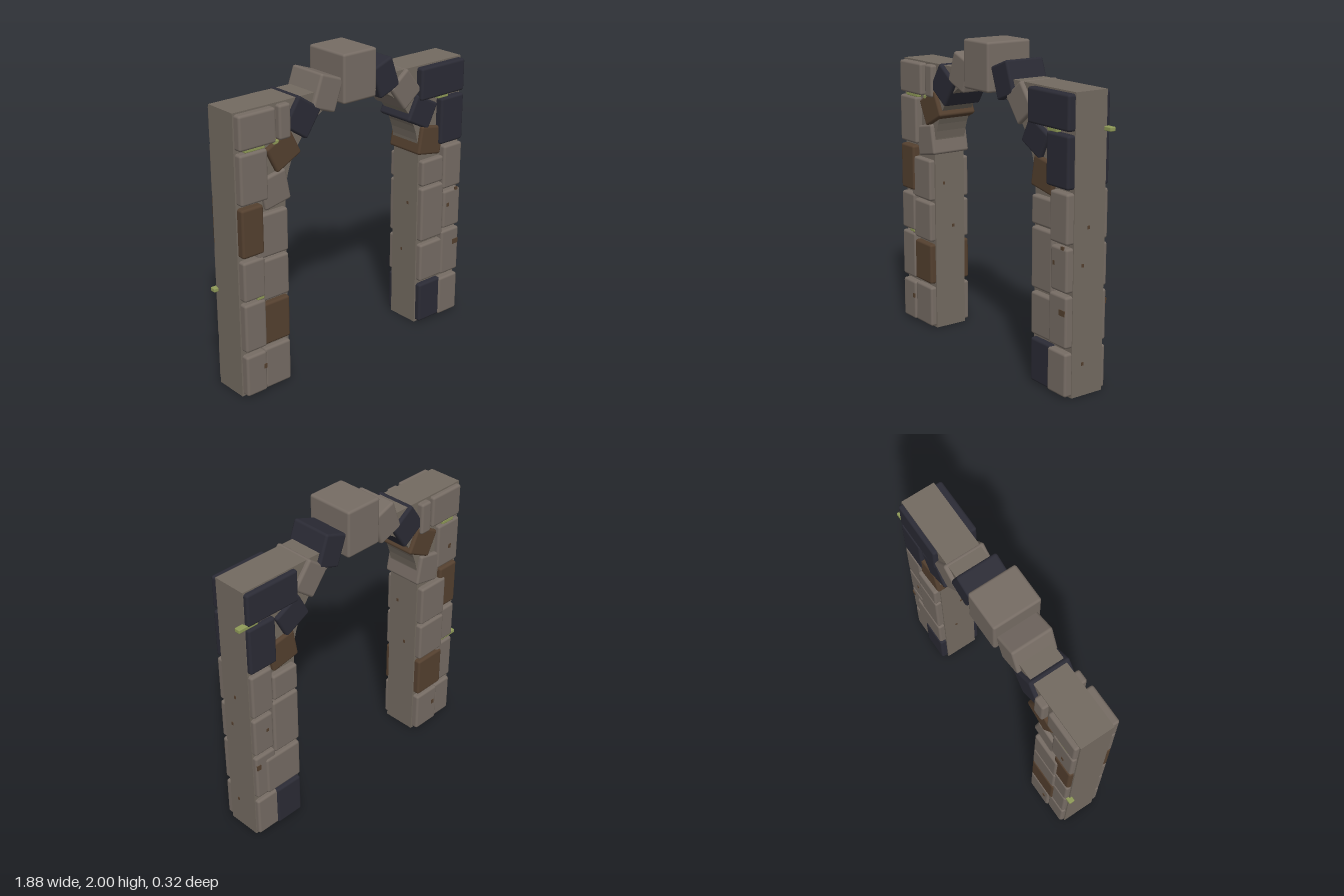
import * as THREE from 'three';
import { RoundedBoxGeometry } from 'three/addons/geometries/RoundedBoxGeometry.js';

const mat = (name, color) => {
  const m = new THREE.MeshStandardMaterial({ color });
  m.name = name;
  return m;
};

export function createModel() {
  const arch = new THREE.Group();
  arch.name = 'stoneArch';
  const M = {
    stone: mat('greyStone', 0x766c64),
    dark: mat('darkStone', 0x2b2b35),
    brown: mat('brownStone', 0x54402f),
    mortar: mat('mortar', 0x736a60),
    moss: mat('moss', 0x8f9a58),
  };
  const add = (name, geo, material, x, y, z, rot = 0) => {
    const mesh = new THREE.Mesh(geo, material);
    mesh.name = name;
    mesh.position.set(x, y, z);
    mesh.rotation.z = rot * Math.PI / 180;
    arch.add(mesh);
    return mesh;
  };

  // Mortar core: two legs joined by a round arch
  const s = new THREE.Shape();
  s.moveTo(-0.915, 0);
  s.lineTo(-0.555, 0);
  s.lineTo(-0.555, 1.2);
  s.absarc(-0.015, 1.2, 0.54, Math.PI, 0, true);
  s.lineTo(0.525, 0);
  s.lineTo(0.885, 0);
  s.lineTo(0.885, 1.8);
  s.lineTo(-0.915, 1.8);
  s.closePath();
  add('mortarCore', new THREE.ExtrudeGeometry(s, { depth: 0.225, bevelEnabled: false, curveSegments: 16 }),
    M.mortar, 0, 0, -0.12);

  const block = (name, kind, x0, x1, y0, y1, z0, z1) =>
    add(name, new RoundedBoxGeometry(x1 - x0, y1 - y0, z1 - z0, 2, 0.016), M[kind],
      (x0 + x1) / 2, (y0 + y1) / 2, (z0 + z1) / 2);

  // Outer leg stones stand proud in front, inner ones behind
  const outer = [
    ['stone', -0.905, -0.755, 0.01, 0.28], ['stone', -0.905, -0.75, 0.31, 0.625],
    ['stone', -0.905, -0.75, 0.645, 0.9], ['brown', -0.905, -0.75, 0.925, 1.23],
    ['stone', -0.905, -0.71, 1.25, 1.56], ['stone', -0.905, -0.645, 1.58, 1.79],
    ['stone', 0.71, 0.88, 0.01, 0.28], ['stone', 0.72, 0.88, 0.31, 0.625],
    ['stone', 0.73, 0.88, 0.645, 0.91], ['stone', 0.72, 0.88, 0.93, 1.23],
    ['dark', 0.68, 0.88, 1.25, 1.56], ['dark', 0.5, 0.88, 1.58, 1.79],
  ];
  const inner = [
    ['stone', -0.76, -0.565, 0.01, 0.285], ['brown', -0.79, -0.565, 0.31, 0.585],
    ['stone', -0.79, -0.565, 0.605, 0.87], ['stone', -0.79, -0.565, 0.885, 1.16],
    ['stone', -0.615, -0.53, 1.58, 1.79],
    ['dark', 0.535, 0.73, 0.01, 0.285], ['stone', 0.535, 0.805, 0.31, 0.575],
    ['stone', 0.535, 0.735, 0.6, 0.975], ['stone', 0.535, 0.725, 0.99, 1.165],
  ];
  outer.forEach(([k, ...b]) => block('outerLegStone', k, ...b, -0.15, 0.153));
  inner.forEach(([k, ...b]) => block('innerLegStone', k, ...b, -0.162, 0.143));

  // Ring of tilted arch stones: kind, x, y, width, height, tilt
  const ring = [
    ['stone', -0.24, 1.78, 0.18, 0.21, -20], ['dark', -0.43, 1.675, 0.2, 0.2, -34],
    ['brown', -0.575, 1.505, 0.2, 0.18, 27], ['stone', -0.64, 1.285, 0.19, 0.2, 11],
    ['dark', 0.22, 1.785, 0.17, 0.21, 20], ['stone', 0.39, 1.675, 0.18, 0.2, 38],
    ['dark', 0.54, 1.495, 0.2, 0.18, -27], ['brown', 0.62, 1.29, 0.2, 0.19, -10],
  ];
  ring.forEach(([k, x, y, w, h, tilt]) =>
    add('archStone', new RoundedBoxGeometry(w, h, 0.275, 2, 0.016), M[k], x, y, -0.007, tilt));
  block('keystone', 'stone', -0.145, 0.115, 1.695, 2.0, -0.165, 0.155);

  // Moss in the joints: x, y, z, width
  const moss = [
    [-0.875, 0.645, -0.12, 0.14], [0.87, 1.578, -0.12, 0.14],
    [-0.785, 1.572, 0.115, 0.14], [0.71, 1.572, 0.115, 0.09],
    [-0.785, 0.645, 0.13, 0.05], [-0.63, 1.572, 0.11, 0.04],
    [-0.8, 1.572, -0.125, 0.1],
  ];
  moss.forEach(([x, y, z, w]) =>
    add('moss', new RoundedBoxGeometry(w, 0.026, 0.04, 1, 0.006), M.moss, x, y, z));

  // Small brown chips on the front and back faces
  const chip = (x, y, z, w, h) => add('chip', new THREE.BoxGeometry(w, h, 0.008), M.brown, x, y, z);
  chip(-0.77, 0.18, 0.152, 0.02, 0.03);
  chip(0.845, 0.525, 0.152, 0.05, 0.035);
  chip(0.765, 0.81, 0.152, 0.018, 0.025);
  chip(0.84, 0.91, 0.152, 0.025, 0.02);
  chip(0.86, 0.55, -0.15, 0.03, 0.035);
  chip(0.78, 0.8, -0.15, 0.015, 0.02);
  chip(-0.72, 0.17, -0.162, 0.02, 0.03);
  chip(-0.82, 1.38, -0.15, 0.02, 0.03);

  // Chips on the leg sides: x, y, z
  const sides = [[0.886, 1.02, 0.0], [0.886, 0.8, 0.04], [0.886, 0.2, 0.03],
    [0.526, 0.5, -0.03], [0.526, 0.85, 0.02], [-0.554, 1.0, 0.04], [-0.554, 0.7, -0.03]];
  sides.forEach(([x, y, z]) =>
    add('sideChip', new THREE.BoxGeometry(0.006, 0.02, 0.015), M.brown, x, y, z));

  return arch;
}
